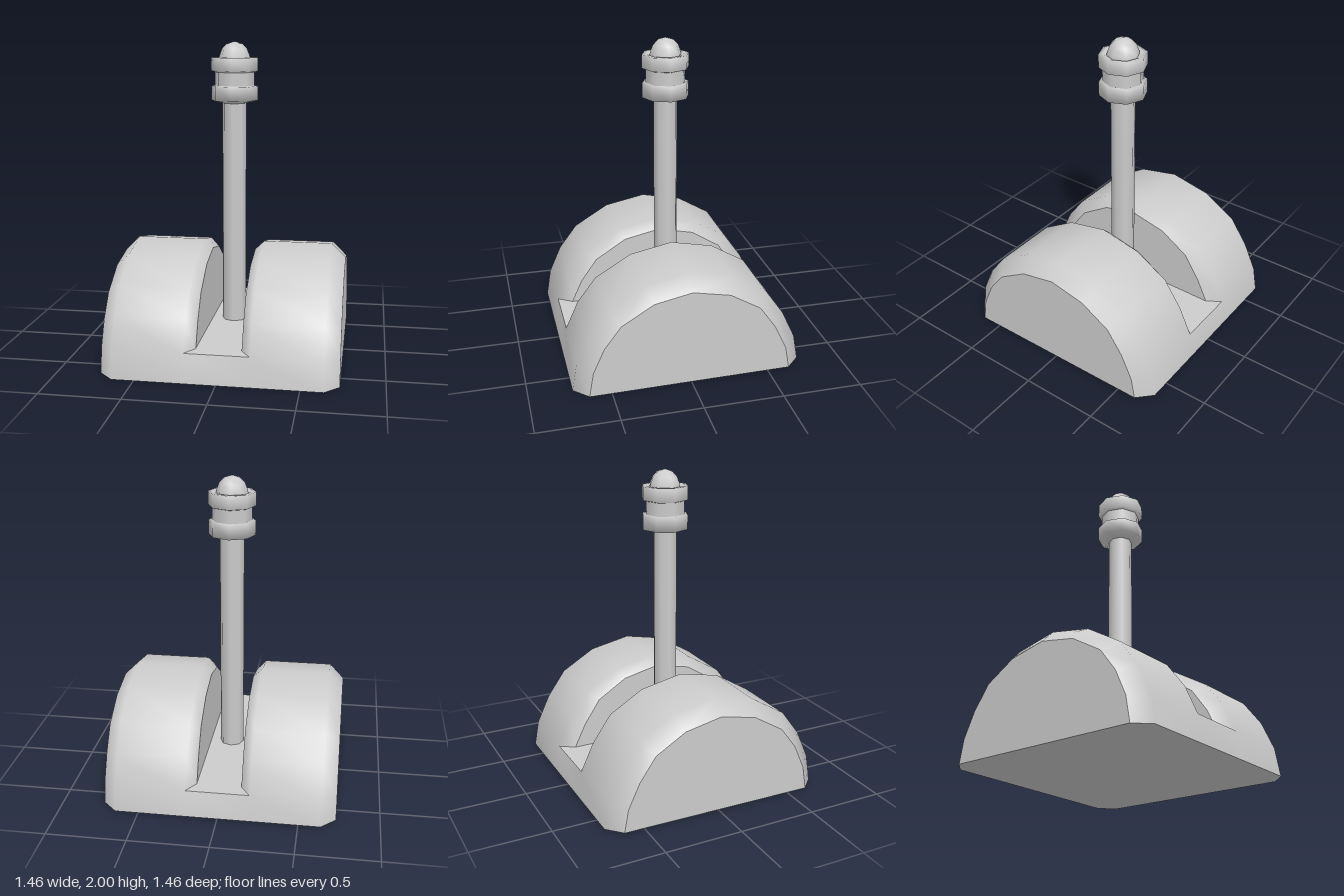
import * as THREE from 'three';

const grey = () => new THREE.MeshStandardMaterial({ color: 0xcccccc });

// Arched side profile as [z, y], from the front foot over the top to the back foot
const ARCH = [
  [0.73, 0], [0.7, 0.18], [0.62, 0.36], [0.5, 0.52], [0.27, 0.66], [0, 0.715],
  [-0.27, 0.66], [-0.49, 0.53], [-0.61, 0.36], [-0.695, 0.18], [-0.725, 0.015],
];
const LAST = ARCH.length - 1;

// Cross-sections along x: [x, z scale, y scale]
const HALF = [[0.14, 0.87, 0.92], [0.2, 1, 1], [0.64, 1, 1], [0.73, 0.875, 0.875]];
const SECTIONS = [...HALF.map(([x, a, b]) => [-x, a, b]).reverse(), ...HALF];
const FLOOR = 0.18;

// Point i of the arch on section c; the slot walls end on the slot floor
function point(c, i) {
  const [x, sz, sy] = SECTIONS[c];
  const [z, y] = ARCH[i];
  const inner = c === 3 || c === 4;
  return [x, inner ? Math.max(FLOOR, y * sy) : y * sy, z * sz];
}

// Smooth bevelled skin over both humps and the low strips closing the slot ends
function skinGeometry() {
  const pos = [], index = [];
  const n = LAST + 1;
  SECTIONS.forEach((_, c) => ARCH.forEach((_, i) => pos.push(...point(c, i))));
  const cell = (c, d, i) => {
    const a = c * n + i, b = d * n + i;
    index.push(a, b, a + 1, b, b + 1, a + 1);
  };
  for (let i = 0; i < LAST; i++) {
    const end = i === 0 || i === LAST - 1;
    for (const c of [0, 1, 5, 6]) cell(c, c + 1, i);
    if (end) cell(2, 5, i);
    else for (const c of [2, 4]) cell(c, c + 1, i);
  }
  const g = new THREE.BufferGeometry();
  g.setAttribute('position', new THREE.Float32BufferAttribute(pos, 3));
  g.setIndex(index);
  g.computeVertexNormals();
  return g;
}

// Flat convex polygons, each given as a list of corners
function flatGeometry(polygons) {
  const pos = [];
  for (const p of polygons)
    for (let k = 1; k < p.length - 1; k++) pos.push(...p[0], ...p[k], ...p[k + 1]);
  const g = new THREE.BufferGeometry();
  g.setAttribute('position', new THREE.Float32BufferAttribute(pos, 3));
  g.computeVertexNormals();
  return g;
}

export function createModel() {
  const model = new THREE.Group();
  model.name = 'lever';
  const add = (name, geometry, parent) => {
    const mesh = new THREE.Mesh(geometry, grey());
    mesh.name = name;
    parent.add(mesh);
    return mesh;
  };

  // Base housing
  const base = new THREE.Group();
  base.name = 'base';
  model.add(base);
  add('baseSkin', skinGeometry(), base);

  const arc = (c, from, to) => ARCH.map((_, i) => point(c, i)).slice(from, to + 1);
  add('baseSides', flatGeometry([arc(0, 0, LAST), arc(7, 0, LAST).reverse()]), base);
  add('slotWalls', flatGeometry([arc(4, 1, LAST - 1), arc(3, 1, LAST - 1).reverse()]), base);

  // Slot floor flares out at both ends
  const poly = (...ids) => ids.map(([c, i]) => point(c, i));
  const b = LAST - 1;
  add('slotFloor', flatGeometry([
    poly([2, 1], [5, 1], [4, 1], [3, 1]),
    poly([3, 1], [4, 1], [4, b], [3, b]),
    poly([3, b], [4, b], [5, b], [2, b]),
  ]), base);
  add('baseBottom', flatGeometry([
    poly([0, 0], [0, LAST], [1, LAST], [6, LAST], [7, LAST], [7, 0], [6, 0], [1, 0]),
  ]), base);

  // Upright handle
  const handle = new THREE.Group();
  handle.name = 'handle';
  handle.position.z = -0.01;
  model.add(handle);
  const shaft = add('shaft', new THREE.CylinderGeometry(0.077, 0.077, 1.46, 8, 1, true), handle);
  shaft.position.y = FLOOR + 0.73;

  // Eight-sided turned parts
  const turned = (name, pts) => add(name,
    new THREE.LatheGeometry(pts.map(([r, y]) => new THREE.Vector2(r, y)), 8), handle);
  turned('lowerCollar', [[0.07, 1.61], [0.15, 1.63], [0.15, 1.72], [0.12, 1.725]]);
  turned('neck', [[0.127, 1.715], [0.127, 1.815]]);
  turned('upperCollar', [[0.12, 1.805], [0.15, 1.815], [0.15, 1.9], [0.12, 1.9], [0.09, 1.885]]);
  turned('knob', [[0.1, 1.885], [0.098, 1.91], [0.08, 1.955], [0.05, 1.985], [0, 2]]);

  return model;
}
